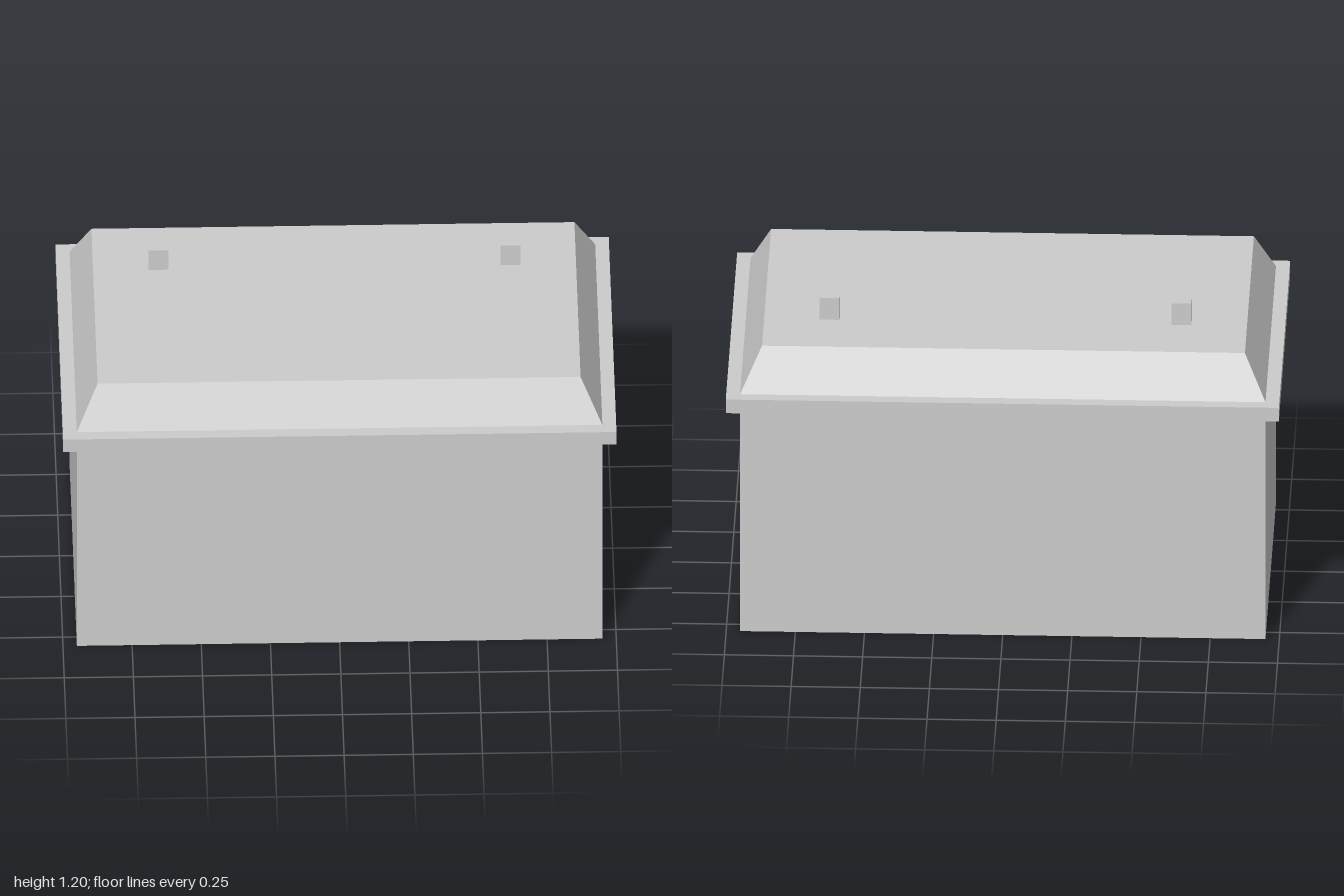
import * as THREE from 'three';

export function createModel() {
  const model = new THREE.Group();
  const grey = new THREE.MeshStandardMaterial({ color: 0xcccccc, side: THREE.DoubleSide });
  grey.name = 'light grey';

  const add = (name, geometry, x, y, z) => {
    const mesh = new THREE.Mesh(geometry, grey);
    mesh.name = name;
    mesh.position.set(x, y, z);
    model.add(mesh);
  };

  const halfX = 0.95, halfZ = 0.555, wallTop = 0.9, eavesTop = 0.955, roofTop = 1.113;

  // Four single-sheet walls, open underneath
  for (const s of [1, -1]) {
    const long = new THREE.PlaneGeometry(halfX * 2, wallTop);
    const short = new THREE.PlaneGeometry(halfZ * 2, wallTop);
    if (s < 0) long.rotateY(Math.PI);
    short.rotateY(s * Math.PI / 2);
    add(s > 0 ? 'frontWall' : 'backWall', long, 0, wallTop / 2, s * halfZ);
    add(s > 0 ? 'leftWall' : 'rightWall', short, s * halfX, wallTop / 2, 0);
  }

  // Overhanging eaves slab
  add('eaves', new THREE.BoxGeometry(2, eavesTop - wallTop, 1.2), 0, (eavesTop + wallTop) / 2, 0);

  // Flat-topped hipped roof: a box whose upper corners are drawn in
  const roofHeight = roofTop - eavesTop;
  const roof = new THREE.BoxGeometry(halfX * 2, roofHeight, halfZ * 2);
  const p = roof.attributes.position;
  for (let i = 0; i < p.count; i++) {
    if (p.getY(i) > 0) {
      p.setX(i, Math.sign(p.getX(i)) * 0.873);
      p.setZ(i, Math.sign(p.getZ(i)) * 0.476);
    }
  }
  roof.computeVertexNormals();
  add('roof', roof, 0, eavesTop + roofHeight / 2, 0);

  // Pair of small chimneys towards the back
  for (const s of [1, -1]) {
    add(s > 0 ? 'leftChimney' : 'rightChimney',
      new THREE.BoxGeometry(0.072, 1.2 - roofTop, 0.038), s * 0.636, (1.2 + roofTop) / 2, -0.237);
  }

  return model;
}
